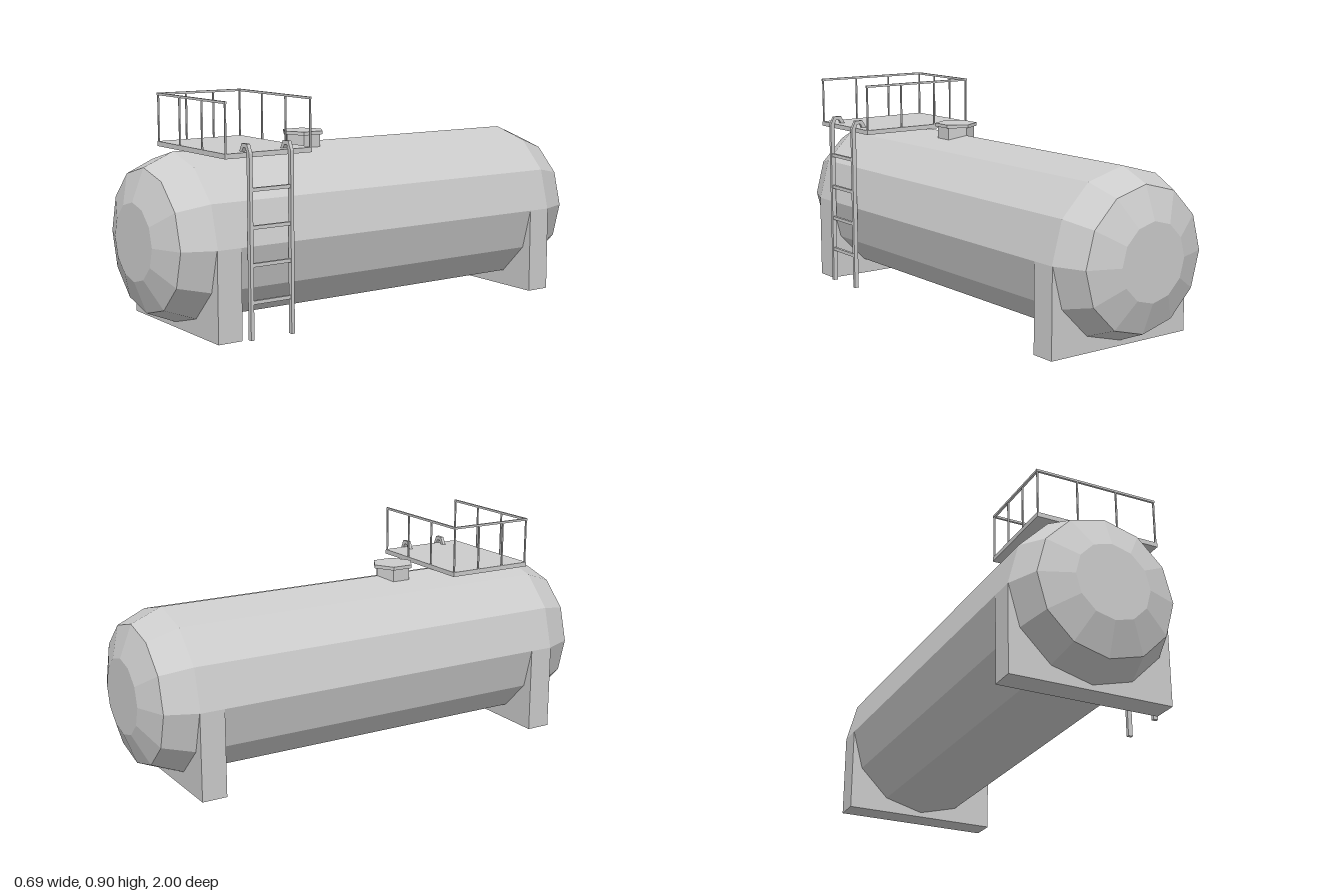
import * as THREE from 'three';

export function createModel() {
  const model = new THREE.Group();
  const material = new THREE.MeshStandardMaterial({ color: 0xcccccc, flatShading: true });

  const add = (name, geometry, x, y, z, parent = model) => {
    const mesh = new THREE.Mesh(geometry, material);
    mesh.name = name;
    mesh.position.set(x, y, z);
    parent.add(mesh);
    return mesh;
  };
  // Box given by its min and max corners
  const box = (name, [x0, y0, z0], [x1, y1, z1], parent) =>
    add(name, new THREE.BoxGeometry(x1 - x0, y1 - y0, z1 - z0),
      (x0 + x1) / 2, (y0 + y1) / 2, (z0 + z1) / 2, parent);
  const group = (name) => {
    const g = new THREE.Group();
    g.name = name;
    model.add(g);
    return g;
  };

  // Twelve-sided tank with stepped domed ends
  const tankX = -0.01;
  const profile = [[0, -1], [0.153, -1], [0.281, -0.95], [0.333, -0.825],
    [0.333, 0.825], [0.281, 0.95], [0.153, 1], [0, 1]].map(([r, h]) => new THREE.Vector2(r, h));
  const tank = new THREE.LatheGeometry(profile, 12).rotateX(-Math.PI / 2);
  add('tank', tank, tankX, 0.353, 0);

  // Support blocks under both ends
  box('frontSupport', [-0.343, 0, 0.725], [0.323, 0.353, 0.828]);
  box('backSupport', [-0.343, 0, -0.828], [0.323, 0.353, -0.725]);

  // Hexagonal hatch
  const hatch = group('hatch');
  add('hatchNeck', new THREE.CylinderGeometry(0.077, 0.077, 0.055, 6), tankX, 0.693, 0.23, hatch);
  add('hatchLid', new THREE.CylinderGeometry(0.089, 0.089, 0.014, 6), tankX, 0.726, 0.23, hatch);

  // Platform with railing on three sides, open towards the ladder
  box('platform', [-0.2, 0.687, 0.41], [0.324, 0.706, 0.79]);
  const railing = group('railing');
  const xL = -0.195, xR = 0.319, zB = 0.415, zF = 0.785, railY = 0.892, h = 0.0045, p = 0.003;
  const post = (x, z) => box('railPost', [x - p, 0.704, z - p], [x + p, railY, z + p], railing);
  for (const z of [zB, zF]) {
    box('topRail', [xL - h, railY - h, z - h], [xR + h, railY + h, z + h], railing);
    for (let i = 0; i < 4; i++) post(xL + (xR - xL) * i / 3, z);
  }
  box('endRail', [xL - h, railY - h, zB], [xL + h, railY + h, zF], railing);
  for (const t of [1 / 3, 2 / 3]) post(xL, zB + (zF - zB) * t);

  // Ladder: uprights hook over the platform edge
  const ladder = group('ladder');
  const outline = [[0.323, 0], [0.342, 0], [0.342, 0.703], [0.325, 0.737], [0.289, 0.737],
    [0.271, 0.705], [0.29, 0.705], [0.299, 0.722], [0.315, 0.722], [0.323, 0.705]];
  const upright = new THREE.ExtrudeGeometry(
    new THREE.Shape(outline.map(([x, y]) => new THREE.Vector2(x, y))),
    { depth: 0.014, bevelEnabled: false });
  for (const z of [0.512, 0.692]) add('ladderUpright', upright, 0, 0, z - 0.007, ladder);
  for (let i = 0; i < 4; i++) {
    const y = 0.143 + i * 0.1415;
    box('ladderRung', [0.326, y - 0.007, 0.512], [0.339, y + 0.007, 0.692], ladder);
  }

  return model;
}
